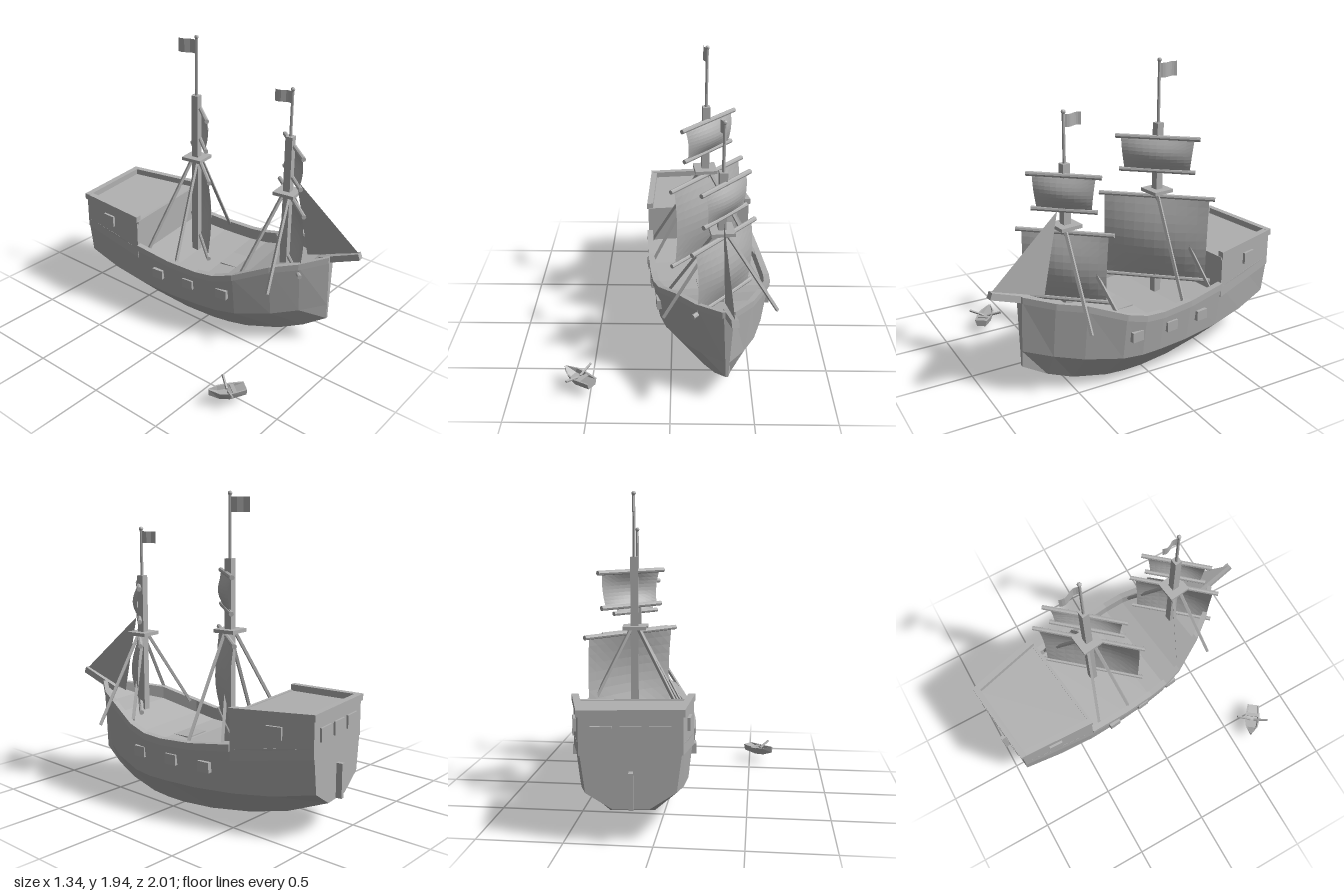
import * as THREE from 'three';

const grey = new THREE.MeshStandardMaterial({ color: 0xb0b0b0, side: THREE.DoubleSide });
grey.name = 'plainGrey';
grey.flatShading = true;
const V = (x, y, z) => new THREE.Vector3(x, y, z);

function add(parent, name, geometry, x = 0, y = 0, z = 0) {
  const mesh = new THREE.Mesh(geometry, grey);
  mesh.name = name;
  mesh.position.set(x, y, z);
  parent.add(mesh);
  return mesh;
}
const box = (p, name, w, h, d, x, y, z) => add(p, name, new THREE.BoxGeometry(w, h, d), x, y, z);

// Skin over equal loops, ordered towards +z, each counter-clockwise seen from +z
function loft(sections) {
  const pos = [], n = sections[0].length;
  const tri = (a, b, c) => pos.push(...a, ...b, ...c);
  for (let i = 0; i < sections.length - 1; i++) {
    const A = sections[i], B = sections[i + 1];
    for (let j = 0; j < n; j++) {
      const k = (j + 1) % n;
      tri(A[j], A[k], B[k]);
      tri(A[j], B[k], B[j]);
    }
  }
  const S = sections[0], E = sections[sections.length - 1];
  for (let j = 1; j < n - 1; j++) {
    tri(S[0], S[j + 1], S[j]);
    tri(E[0], E[j], E[j + 1]);
  }
  const g = new THREE.BufferGeometry();
  g.setAttribute('position', new THREE.Float32BufferAttribute(pos, 3));
  g.computeVertexNormals();
  return g;
}
const rect = (x0, x1, y0, y1, z) => [[x0, y0, z], [x1, y0, z], [x1, y1, z], [x0, y1, z]];

// Straight square bar between two points
function bar(parent, name, a, b, size) {
  const m = box(parent, name, size, size, a.distanceTo(b), 0, 0, 0);
  m.position.copy(a).add(b).multiplyScalar(0.5);
  m.quaternion.setFromUnitVectors(V(0, 0, 1), b.clone().sub(a).normalize());
}

// Stations: z, keel half-width, keel y, chine half-width, chine y, rim half-width, rim y, bulwark depth
const stations = [
  [-0.97, 0.10, 0.195, 0.25, 0.29, 0.285, 0.56, 0],
  [-0.72, 0.13, 0.10, 0.295, 0.24, 0.325, 0.53, 0],
  [-0.47, 0.15, 0.045, 0.33, 0.215, 0.362, 0.49, 0.05],
  [-0.20, 0.16, 0.01, 0.345, 0.20, 0.378, 0.455, 0.05],
  [0.02, 0.16, 0, 0.348, 0.20, 0.38, 0.445, 0.05],
  [0.15, 0.155, 0.004, 0.34, 0.20, 0.375, 0.455, 0.05],
  [0.28, 0.14, 0.013, 0.315, 0.207, 0.352, 0.49, 0.05],
  [0.50, 0.09, 0.05, 0.225, 0.235, 0.262, 0.575, 0.05],
  [0.66, 0.05, 0.11, 0.13, 0.265, 0.165, 0.60, 0.04],
  [0.805, 0.008, 0.19, 0.012, 0.295, 0.03, 0.63, 0],
];

function buildHull(ship) {
  add(ship, 'hull', loft(stations.map(([z, k, y0, c, yc, r, yr, d]) => {
    const t = Math.max(r - 0.03, 0.005);
    return [[k, y0, z], [c, yc, z], [r, yr, z], [t, yr, z], [t, yr - d, z],
      [-t, yr - d, z], [-t, yr, z], [-r, yr, z], [-c, yc, z], [-k, y0, z]];
  })));
  for (const s of [-1, 1]) {
    const railing = stations.slice(2).map(([z, , , , , r, y]) => {
      const a = s * (r - 0.03), b = s * (r + 0.01);
      return rect(Math.min(a, b), Math.max(a, b), y - 0.012, y + 0.03, z);
    });
    add(ship, 'rail', loft(railing));
    for (const z of [0.205, -0.05, -0.295])
      box(ship, 'gunPort', 0.035, 0.065, 0.08, s * (z > 0.1 ? 0.352 : 0.367), 0.355, z);
  }
  box(ship, 'deckHatch', 0.17, 0.008, 0.14, 0, 0.402, 0.1);
  bar(ship, 'bowsprit', V(0, 0.61, 0.73), V(0, 0.712, 0.995), 0.042);
  box(ship, 'rudder', 0.026, 0.21, 0.045, 0, 0.305, -0.985);
}

function buildSternCastle(ship) {
  add(ship, 'sternCastle', loft([
    rect(-0.285, 0.285, 0.5, 0.715, -0.97), rect(-0.362, 0.362, 0.42, 0.695, -0.47),
  ]));
  for (const s of [-1, 1]) {
    const side = (z, r, y) => {
      const a = s * (r - 0.032), b = s * (r + 0.01);
      return rect(Math.min(a, b), Math.max(a, b), y - 0.04, y, z);
    };
    add(ship, 'castleRail', loft([side(-0.975, 0.285, 0.755), side(-0.465, 0.362, 0.735)]));
    const win = box(ship, 'sideWindow', 0.03, 0.075, 0.095, s * 0.322, 0.625, -0.74);
    win.rotation.y = s * 0.153;
  }
  box(ship, 'sternRail', 0.59, 0.04, 0.04, 0, 0.735, -0.96);
  box(ship, 'castleFrontBeam', 0.72, 0.02, 0.02, 0, 0.69, -0.47);
  for (const x of [-0.16, 0, 0.16]) box(ship, 'sternWindow', 0.12, 0.08, 0.03, x, 0.625, -0.967);
}

// Sail bellied forward, hung between two yards
function buildSail(parent, topY, bottomY, topWidth, bottomWidth, belly) {
  const h = topY - bottomY, g = new THREE.PlaneGeometry(1, 1, 10, 10), p = g.attributes.position;
  for (let i = 0; i < p.count; i++) {
    const u = p.getX(i), v = p.getY(i) + 0.5;
    const width = THREE.MathUtils.lerp(bottomWidth, topWidth, v) - 0.07;
    const z = belly * Math.sin(Math.PI * v) * (0.35 + 0.65 * Math.cos(Math.PI * u));
    p.setXYZ(i, u * width, bottomY + v * h, z);
  }
  g.computeVertexNormals();
  add(parent, 'sail', g);
  for (const [y, w] of [[topY, topWidth], [bottomY, bottomWidth]]) {
    const yard = add(parent, 'yard', new THREE.CylinderGeometry(0.015, 0.015, w, 8), 0, y, 0);
    yard.rotation.z = Math.PI / 2;
  }
}

function buildFlag(parent, length, height, y) {
  const g = new THREE.PlaneGeometry(length, height, 8, 1);
  g.rotateY(Math.PI / 2);
  const p = g.attributes.position;
  for (let i = 0; i < p.count; i++) {
    const t = 0.5 - p.getZ(i) / length;
    p.setX(i, 0.01 * Math.sin(t * Math.PI * 2));
  }
  g.computeVertexNormals();
  add(parent, 'flag', g, 0, y, -length / 2 - 0.005);
}

function buildMast(ship, o) {
  const mast = new THREE.Group();
  mast.name = o.name;
  mast.position.z = o.z;
  ship.add(mast);
  box(mast, 'mastPost', 0.048, o.postTop - 0.38, 0.048, 0, (o.postTop + 0.38) / 2, 0);
  add(mast, 'topPole', new THREE.CylinderGeometry(0.009, 0.01, o.poleTop - o.postTop, 8),
    0, (o.poleTop + o.postTop) / 2, 0);
  add(mast, 'poleBall', new THREE.SphereGeometry(0.014, 8, 6), 0, o.poleTop, 0);
  box(mast, 'platform', 0.145, 0.022, 0.145, 0, o.platform, 0);
  buildFlag(mast, o.flag[0], o.flag[1], o.flag[2]);
  const rig = new THREE.Group();
  rig.name = 'yardsAndSails';
  rig.rotation.y = 0.735;
  mast.add(rig);
  for (const sail of o.sails) {
    const swing = new THREE.Group();
    swing.name = 'squareSail';
    swing.position.z = 0.024;
    rig.add(swing);
    buildSail(swing, ...sail);
  }
  // Shrouds spread from under the platform to both rails
  for (const s of [-1, 1])
    for (const [x, y, z] of o.shrouds)
      bar(mast, 'shroud', V(s * 0.025, o.platform - 0.01, Math.sign(z - o.z) * 0.02), V(s * x, y, z - o.z), 0.018);
}

// Small rowing boat with two raised oars
function buildRowBoat() {
  const boat = new THREE.Group();
  boat.name = 'rowBoat';
  const shape = [[-0.105, 0.03, 0.042, 0.065, 0.108], [0, 0.038, 0.055, 0.055, 0.103],
    [0.06, 0.025, 0.045, 0.058, 0.107], [0.12, 0.002, 0.006, 0.08, 0.12]];
  add(boat, 'boatHull', loft(shape.map(([z, k, r, y0, y1], i) => {
    const t = r * 0.8, d = i === 1 || i === 2 ? 0.03 : 0;
    return [[k, y0, z], [r, y1, z], [t, y1, z], [t * 0.9, y1 - d, z],
      [-t * 0.9, y1 - d, z], [-t, y1, z], [-r, y1, z], [-k, y0, z]];
  })));
  box(boat, 'boatSeat', 0.085, 0.008, 0.025, 0, 0.098, -0.03);
  for (const s of [-1, 1]) bar(boat, 'oar', V(s * 0.012, 0.092, 0.005), V(s * 0.112, 0.124, 0.005), 0.012);
  boat.position.set(-0.568, 0, 0.69);
  boat.rotation.y = -2.21;
  return boat;
}

export function createModel() {
  const model = new THREE.Group();
  model.name = 'sailingShipWithRowBoat';
  const ship = new THREE.Group();
  ship.name = 'ship';
  ship.position.x = 0.242;
  ship.rotation.y = 0.122;
  model.add(ship, buildRowBoat());

  buildHull(ship);
  buildSternCastle(ship);
  buildMast(ship, {
    name: 'mainMast', z: -0.222, postTop: 1.54, poleTop: 1.925, platform: 1.103, flag: [0.135, 0.09, 1.86],
    sails: [[1.07, 0.515, 0.74, 0.72, 0.06], [1.45, 1.237, 0.53, 0.48, 0.045]],
    shrouds: [[0.35, 0.465, -0.16], [0.345, 0.47, -0.404]],
  });
  buildMast(ship, {
    name: 'foreMast', z: 0.474, postTop: 1.4, poleTop: 1.7, platform: 1.02, flag: [0.115, 0.075, 1.648],
    sails: [[0.985, 0.555, 0.6, 0.57, 0.055], [1.333, 1.122, 0.45, 0.4, 0.04]],
    shrouds: [[0.356, 0.465, 0.54], [0.295, 0.52, 0.315]],
  });

  // Triangular sail between the fore mast and the bowsprit
  const jib = new THREE.BufferGeometry().setFromPoints([V(0, 1.12, 0.53), V(0.005, 0.61, 0.635), V(0, 0.73, 0.98)]);
  jib.computeVertexNormals();
  add(ship, 'jib', jib);
  return model;
}
